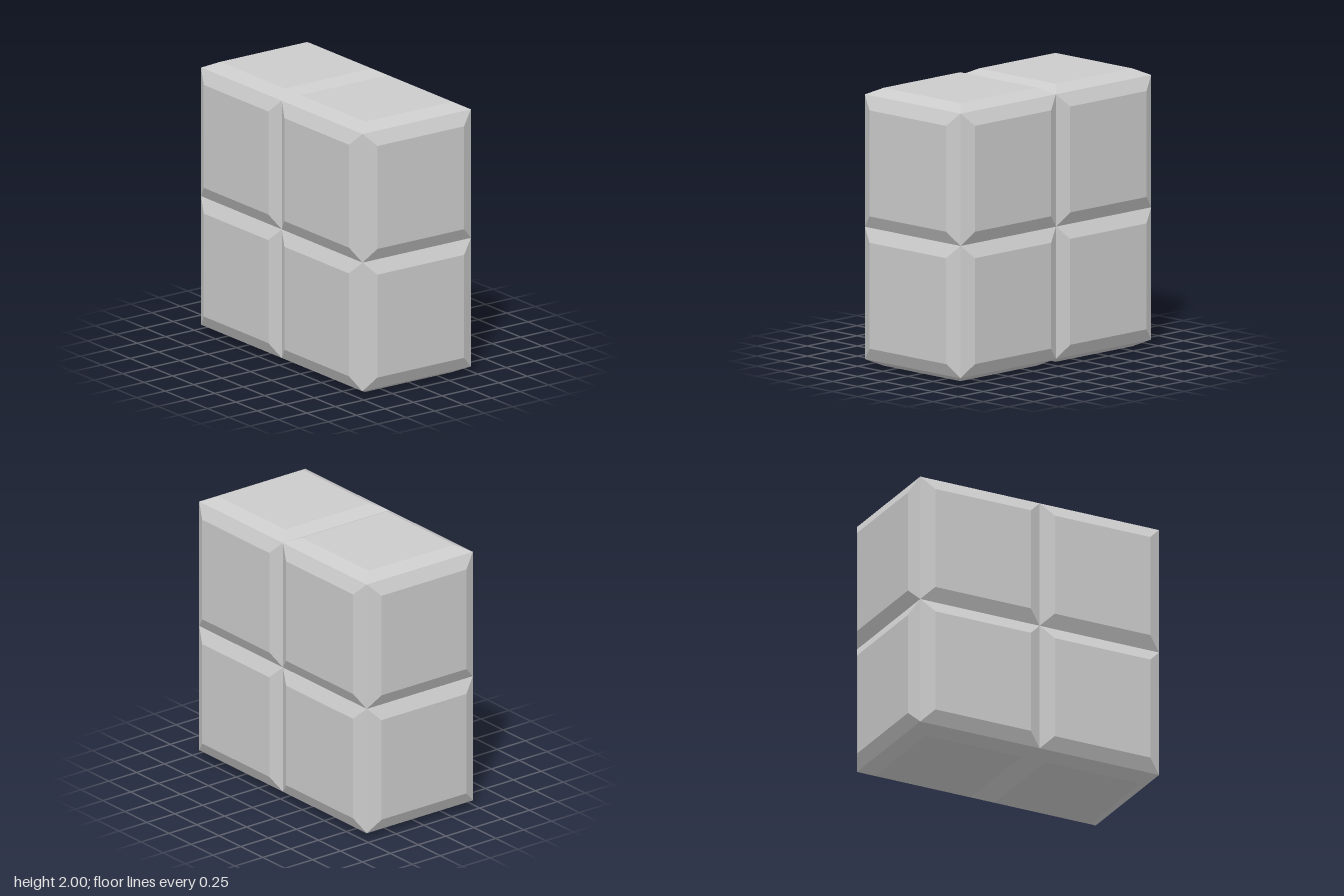
import * as THREE from 'three';

const CELL = 0.952;   // edge of one block
const RISE = 0.048;   // how far each face panel stands out
const INSET = 0.095;  // width of the sloped border

// Raised square panel with sloped borders, facing +z, open at the back
function panelGeometry() {
  const box = new THREE.BoxGeometry(CELL, CELL, RISE);
  box.translate(0, 0, RISE / 2);
  const p = box.attributes.position;
  const s = (CELL - 2 * INSET) / CELL;
  for (let i = 0; i < p.count; i++) {
    if (p.getZ(i) > RISE / 2) p.setXY(i, p.getX(i) * s, p.getY(i) * s);
  }
  box.setIndex(Array.from(box.index.array).slice(0, 30)); // drop the hidden back
  box.clearGroups();
  const geometry = box.toNonIndexed();
  geometry.computeVertexNormals();
  return geometry;
}

export function createModel() {
  const model = new THREE.Group();
  model.name = 'blockSquare';
  const material = new THREE.MeshStandardMaterial({ color: 0xcccccc, flatShading: true });
  const geometry = panelGeometry();
  const forward = new THREE.Vector3(0, 0, 1);

  // Two by two blocks, with panels on the outer faces only
  for (const sx of [-1, 1]) {
    for (const sy of [-1, 1]) {
      const block = new THREE.Group();
      block.name = `${sy > 0 ? 'upper' : 'lower'}${sx > 0 ? 'Left' : 'Right'}Block`;
      block.position.set(sx * CELL / 2, RISE + CELL + sy * CELL / 2, 0);
      const faces = {
        frontPanel: [0, 0, 1],
        backPanel: [0, 0, -1],
        sidePanel: [sx, 0, 0],
        [sy > 0 ? 'topPanel' : 'bottomPanel']: [0, sy, 0],
      };
      for (const [name, direction] of Object.entries(faces)) {
        const normal = new THREE.Vector3(...direction);
        const panel = new THREE.Mesh(geometry, material);
        panel.name = name;
        if (normal.z < 0) panel.rotation.y = Math.PI;
        else panel.quaternion.setFromUnitVectors(forward, normal);
        panel.position.copy(normal).multiplyScalar(CELL / 2);
        block.add(panel);
      }
      model.add(block);
    }
  }
  return model;
}
